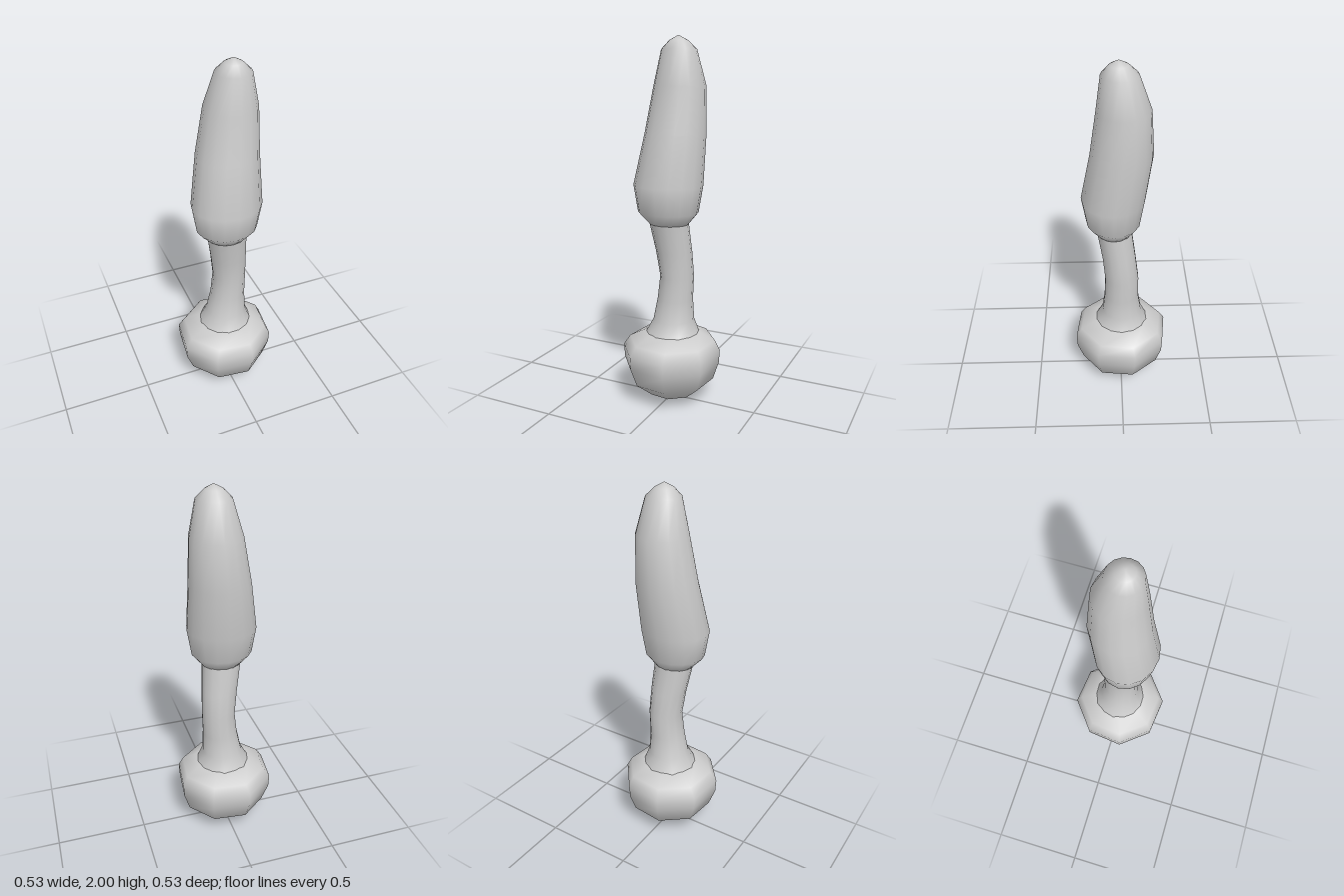
import * as THREE from 'three';
import { mergeVertices } from 'three/addons/utils/BufferGeometryUtils.js';

// Skins elliptical rings, listed bottom to top as [y, xMin, xMax, zMin, zMax]
function loft(name, rings, sides, turn = 0) {
  const positions = [], index = [];
  for (const [y, x0, x1, z0, z1] of rings) {
    for (let j = 0; j < sides; j++) {
      const a = turn + (j / sides) * Math.PI * 2;
      positions.push(
        (x0 + x1) / 2 + Math.cos(a) * (x1 - x0) / 2,
        y,
        (z0 + z1) / 2 + Math.sin(a) * (z1 - z0) / 2
      );
    }
  }
  for (let i = 0; i < rings.length - 1; i++) {
    for (let j = 0; j < sides; j++) {
      const k = (j + 1) % sides;
      const a = i * sides + j, b = i * sides + k;
      const c = a + sides, d = b + sides;
      index.push(a, c, b, b, c, d);
    }
  }
  const geometry = new THREE.BufferGeometry();
  geometry.setAttribute('position', new THREE.Float32BufferAttribute(positions, 3));
  geometry.setIndex(index);
  // Weld the points at the poles so they shade smoothly
  const welded = mergeVertices(geometry);
  welded.computeVertexNormals();
  const mesh = new THREE.Mesh(welded, new THREE.MeshStandardMaterial({ color: 0xcccccc, side: THREE.DoubleSide }));
  mesh.name = name;
  return mesh;
}

export function createModel() {
  const model = new THREE.Group();
  model.name = 'mushroom';

  // Round eight-sided bulb, from [y, radius, x offset]
  const bulb = [
    [0, 0, 0.01], [0.04, 0.14, 0.005], [0.12, 0.237, 0.003], [0.22, 0.272, 0],
    [0.295, 0.276, 0], [0.35, 0.243, 0.005], [0.395, 0.155, 0.01], [0.41, 0, 0.01],
  ].map(([y, r, x]) => [y, x - r, x + r, -r, r]);
  model.add(loft('bulb', bulb, 8, -0.277));

  // Bent stalk flaring into the bulb
  model.add(loft('stalk', [
    [0.34, -0.17, 0.19, -0.18, 0.18],
    [0.395, -0.14, 0.155, -0.15, 0.145],
    [0.47, -0.1, 0.127, -0.118, 0.108],
    [0.59, -0.075, 0.122, -0.1, 0.095],
    [0.72, -0.06, 0.126, -0.1, 0.09],
    [0.86, -0.078, 0.122, -0.083, 0.103],
    [1.03, -0.107, 0.112, -0.06, 0.132],
  ], 14));

  // Tall leaning cap, closed underneath and rounded at the tip
  model.add(loft('cap', [
    [1.02, 0, 0, 0.035, 0.035],
    [1.02, -0.107, 0.112, -0.06, 0.132],
    [1.085, -0.167, 0.166, -0.108, 0.186],
    [1.23, -0.19, 0.19, -0.132, 0.21],
    [1.5, -0.143, 0.186, -0.166, 0.157],
    [1.75, -0.096, 0.18, -0.15, 0.121],
    [1.93, -0.046, 0.139, -0.086, 0.097],
    [1.975, -0.002, 0.092, -0.038, 0.056],
    [2.0, 0.045, 0.045, 0.01, 0.01],
  ], 16));

  return model;
}
